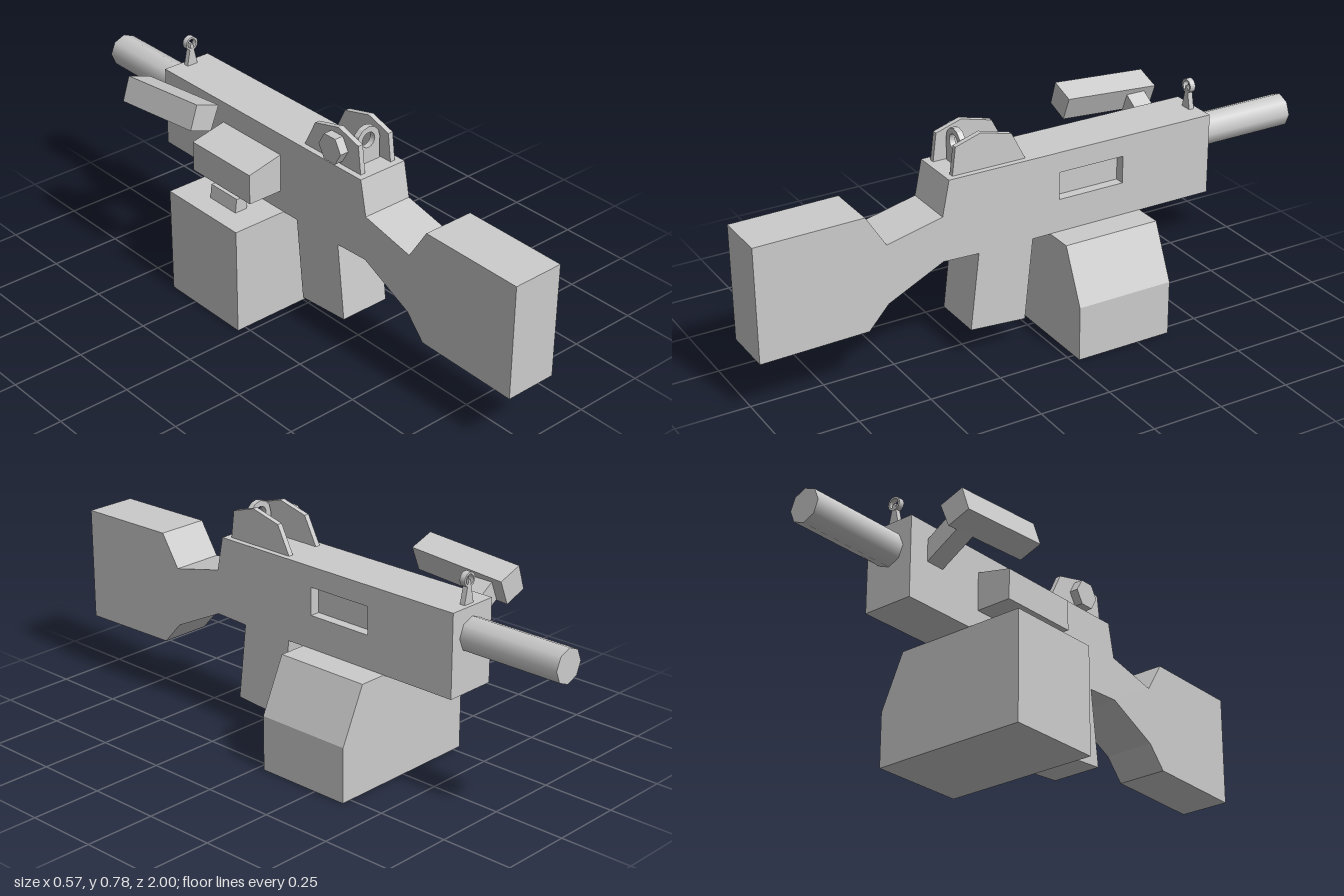
import * as THREE from 'three';

const flat = new THREE.MeshStandardMaterial({ color: 0xcccccc, flatShading: true });
const smooth = new THREE.MeshStandardMaterial({ color: 0xcccccc });
const CX = 0.009; // centre plane of the body

const toShape = (points) => new THREE.Shape(points.map(([a, b]) => new THREE.Vector2(a, b)));
const extrude = (shape, depth) =>
  new THREE.ExtrudeGeometry(shape, { depth, bevelEnabled: false, curveSegments: 12 });

// Side profile given as (z, y), spanning x0..x1
function sideSlab(shape, x0, x1) {
  return extrude(shape, x1 - x0).rotateY(-Math.PI / 2).translate(x1, 0, 0);
}

// Front profile given as (x, y), spanning z0..z1
function frontSlab(shape, z0, z1) {
  return extrude(shape, z1 - z0).translate(0, 0, z0);
}

export function createModel() {
  const model = new THREE.Group();
  model.name = 'model';
  const add = (name, geometry, material = flat, parent = model) => {
    const mesh = new THREE.Mesh(geometry, material);
    mesh.name = name;
    parent.add(mesh);
    return mesh;
  };

  // Stock, receiver and grip share one side profile
  const profile = [
    [1, 0.2], [1, 0.595], [0.63, 0.6], [0.56, 0.49], [0.365, 0.535], [0.34, 0.655],
    [-0.64, 0.655], [-0.64, 0.375], [0.04, 0.375], [0.07, 0.092], [0.27, 0.107],
    [0.238, 0.375], [0.365, 0.38], [0.56, 0.285], [0.63, 0.207],
  ];
  add('body', sideSlab(toShape(profile), -0.082, 0.065));

  // Outer layer with the recessed side port
  const outer = toShape(profile);
  outer.holes.push(toShape([[-0.06, 0.49], [-0.06, 0.585], [-0.3, 0.585], [-0.3, 0.49]]));
  add('bodyPortSide', sideSlab(outer, 0.065, 0.1));

  // Barrel
  add('barrel', new THREE.CylinderGeometry(0.058, 0.058, 0.38, 8)
    .rotateX(Math.PI / 2).translate(CX, 0.563, -0.81), smooth);

  // Box magazine with a chamfered side
  add('magazine', frontSlab(toShape([
    [-0.281, 0], [0.284, 0], [0.284, 0.19], [0.198, 0.376], [-0.281, 0.376],
  ]), -0.37, -0.025));

  // Feed housing and the links running down to the magazine
  add('feedHousing', frontSlab(toShape([
    [-0.21, 0.447], [-0.07, 0.447], [-0.07, 0.583], [-0.21, 0.552],
  ]), -0.33, -0.04));
  add('upperLink', frontSlab(toShape([
    [-0.187, 0.45], [-0.157, 0.414], [-0.12, 0.45],
  ]), -0.25, -0.12));
  add('lowerLink', frontSlab(toShape([
    [-0.207, 0.37], [-0.16, 0.37], [-0.155, 0.419], [-0.2, 0.425],
  ]), -0.25, -0.12));

  // Side handle: arm plus a grip that drops slightly toward the muzzle
  add('handleArm', frontSlab(toShape([
    [-0.215, 0.602], [-0.06, 0.511], [-0.06, 0.587], [-0.195, 0.672],
  ]), -0.565, -0.495));
  const shear = new THREE.Matrix4().set(
    1, 0, 0.03, 0,
    0, 1, 0.083, 0,
    0, 0, 1, 0,
    0, 0, 0, 1);
  add('handleGrip', extrude(toShape([
    [-0.284, 0.617], [-0.203, 0.588], [-0.169, 0.671], [-0.256, 0.701],
  ]), 0.35).applyMatrix4(shear).translate(0, 0, -0.605));

  // Rear sight: two guards, an aperture plate and an adjusting knob
  const rearSight = new THREE.Group();
  rearSight.name = 'rearSight';
  model.add(rearSight);
  const guard = toShape([
    [0.318, 0.65], [0.305, 0.75], [0.215, 0.778], [0.105, 0.75], [0.053, 0.65],
  ]);
  for (const side of [-1, 1]) {
    const x = CX + side * 0.062;
    add('sightGuard', sideSlab(guard, x - 0.009, x + 0.009), flat, rearSight);
  }
  const plate = new THREE.Shape();
  plate.moveTo(CX - 0.047, 0.65);
  plate.lineTo(CX + 0.047, 0.65);
  for (let i = 0; i <= 6; i++) {
    const a = (i / 6) * Math.PI;
    plate.lineTo(CX + 0.047 * Math.cos(a), 0.732 + 0.047 * Math.sin(a));
  }
  plate.closePath();
  const hole = new THREE.Path();
  hole.absarc(CX, 0.733, 0.026, 0, Math.PI * 2, true);
  plate.holes.push(hole);
  add('aperturePlate', frontSlab(plate, 0.253, 0.273), flat, rearSight);
  add('sightKnob', new THREE.CylinderGeometry(0.051, 0.051, 0.035, 6)
    .rotateZ(Math.PI / 2).translate(-0.0755, 0.711, 0.208), flat, rearSight);

  // Front sight: tapered post inside a ring
  const frontSight = new THREE.Group();
  frontSight.name = 'frontSight';
  model.add(frontSight);
  const ring = new THREE.Shape();
  ring.absarc(CX, 0.733, 0.024, 0, Math.PI * 2, false);
  const ringHole = new THREE.Path();
  ringHole.absarc(CX, 0.733, 0.017, 0, Math.PI * 2, true);
  ring.holes.push(ringHole);
  add('sightRing', frontSlab(ring, -0.626, -0.606), flat, frontSight);
  add('sightPost', frontSlab(toShape([
    [CX - 0.022, 0.65], [CX + 0.022, 0.65], [CX + 0.01, 0.705], [CX + 0.004, 0.733],
    [CX - 0.004, 0.733], [CX - 0.01, 0.705],
  ]), -0.625, -0.607), flat, frontSight);

  return model;
}
